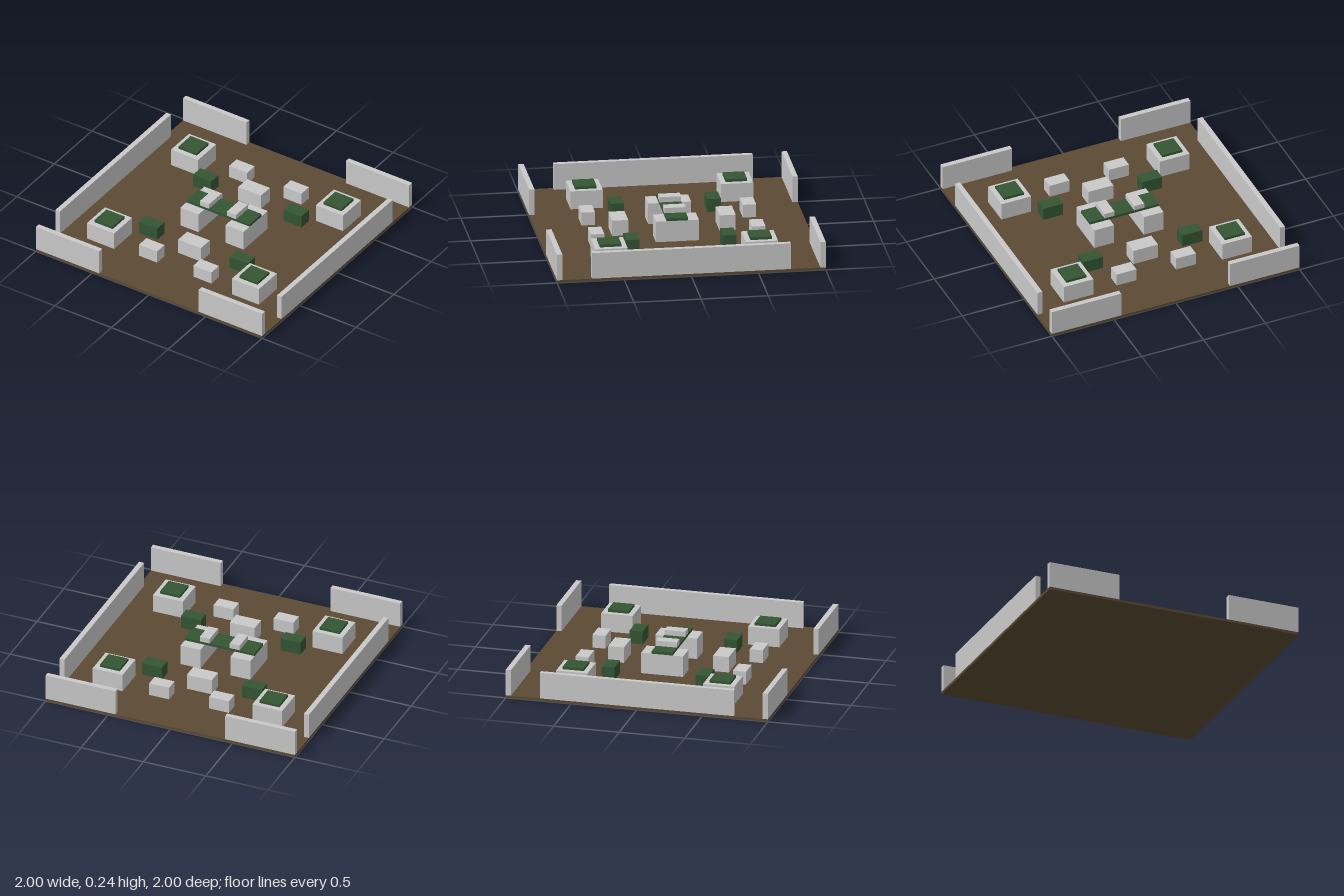
import * as THREE from 'three';

export function createModel() {
  const group = new THREE.Group();
  group.name = 'arena';

  const material = (name, color) => {
    const m = new THREE.MeshStandardMaterial({ color });
    m.name = name;
    return m;
  };
  const earth = material('earth brown', 0x5c4a33);
  const stone = material('pale grey', 0xc9c9c9);
  const green = material('dark green', 0x335533);

  // Box centred on (x, z), standing on y0, rising to y1
  const box = (name, mat, x, z, w, d, y0, y1) => {
    const mesh = new THREE.Mesh(new THREE.BoxGeometry(w, y1 - y0, d), mat);
    mesh.position.set(x, (y0 + y1) / 2, z);
    mesh.name = name;
    group.add(mesh);
  };

  const FLOOR = 0.02;
  box('floor', earth, 0, 0, 2, 2, 0, FLOOR);

  for (const s of [-1, 1]) {
    // Long side walls
    box('sideWall', stone, s * 0.98, 0, 0.04, 1.48, FLOOR, 0.22);

    // Central gate: two piers, with a small cap block on the bridge above
    box('bridgePier', stone, s * 0.2, 0, 0.16, 0.32, FLOOR, 0.18);
    box('bridgeCap', stone, s * 0.12, 0, 0.08, 0.16, 0.2, 0.24);

    // Low cover in front of and behind the bridge
    box('middleBlock', stone, 0, s * 0.4, 0.2, 0.12, FLOOR, 0.14);

    for (const t of [-1, 1]) {
      // Wall halves beside the front and back entrances
      box('entranceWall', stone, s * 0.72, t * 0.98, 0.56, 0.04, FLOOR, 0.22);

      // Corner platforms with green pads
      box('cornerPlatform', stone, s * 0.64, t * 0.56, 0.24, 0.24, FLOOR, 0.16);
      box('cornerPad', green, s * 0.64, t * 0.56, 0.16, 0.16, 0.16, 0.18);

      // Scattered crates
      box('stoneCrate', stone, s * 0.24, t * 0.6, 0.16, 0.1, FLOOR, 0.12);
      box('greenCrate', green, s * 0.4, t * 0.36, 0.16, 0.1, FLOOR, 0.12);
    }
  }
  box('bridgeDeck', green, 0, 0, 0.56, 0.16, 0.18, 0.2);

  return group;
}
